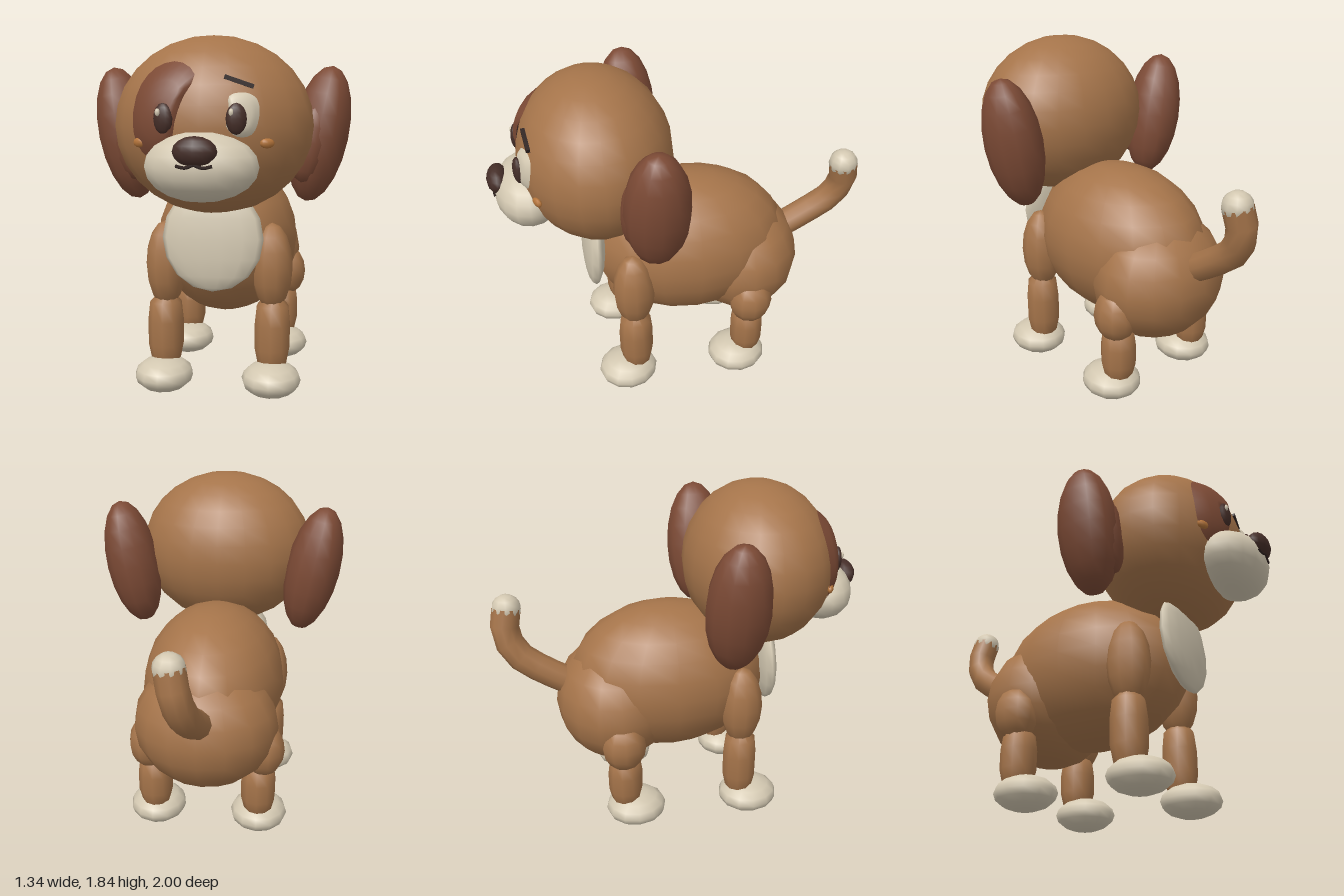
import * as THREE from 'three';

const mat = (name, color, side = THREE.FrontSide) => {
  const m = new THREE.MeshStandardMaterial({ color, side });
  m.name = name;
  return m;
};

export function createModel() {
  const dog = new THREE.Group();
  dog.name = 'puppy';
  const fur = mat('brown fur', 0xa5744a);
  const darkFur = mat('dark brown fur', 0x7c4a35, THREE.DoubleSide);
  const cream = mat('cream fur', 0xd3c8b1, THREE.DoubleSide);
  const dark = mat('nose and eye brown', 0x452e28);
  const tan = mat('cheek tan', 0xb4743a);
  const black = mat('brow black', 0x2e211e);

  const add = (name, geo, material, pos = [0, 0, 0], rot = [0, 0, 0]) => {
    const m = new THREE.Mesh(geo, material);
    m.name = name;
    m.position.set(...pos);
    m.rotation.set(...rot);
    dog.add(m);
    return m;
  };
  // Ellipsoid from centre and three radii
  const blob = (name, material, pos, radii, rot, w = 12, h = 8) =>
    add(name, new THREE.SphereGeometry(1, w, h).scale(...radii), material, pos, rot);

  // Trunk
  blob('body', fur, [0, 0.79, -0.05], [0.385, 0.42, 0.55], [0, 0, 0], 16, 12);
  blob('rump', fur, [0, 0.665, -0.35], [0.385, 0.345, 0.33], [0, 0, 0], 16, 10);
  blob('chestBib', cream, [0, 0.86, 0.49], [0.255, 0.27, 0.062], [-0.06, 0, 0], 14, 8);

  // Head
  const headPos = [0, 1.415, 0.44], headR = [0.49, 0.435, 0.4];
  blob('head', fur, headPos, headR, [0, 0, 0], 20, 14);
  const faceZ = (x, y) => headPos[2] + headR[2] * Math.sqrt(
    Math.max(0, 1 - (x / headR[0]) ** 2 - ((y - headPos[1]) / headR[1]) ** 2));

  // Padded marking that follows the curve of the face
  const marking = (name, material, outline, lift) => {
    const curve = new THREE.CatmullRomCurve3(outline.map(([x, y]) => new THREE.Vector3(x, y, 0)), true);
    const n = 24, rings = 5, centre = new THREE.Vector3();
    const rim = Array.from({ length: n }, (_, i) => curve.getPoint(i / n));
    rim.forEach(p => centre.addScaledVector(p, 1 / n));
    const verts = [], index = [];
    for (let r = 0; r <= rings; r++) {
      for (let i = 0; i < n; i++) {
        const t = r / rings, p = centre.clone().lerp(rim[i], t);
        verts.push(p.x, p.y, faceZ(p.x, p.y) + lift * (1 - t ** 6));
        if (r === rings) continue;
        const a = r * n + i, b = r * n + (i + 1) % n;
        if (r > 0) index.push(a, a + n, b);
        index.push(b, a + n, b + n);
      }
    }
    const geo = new THREE.BufferGeometry();
    geo.setAttribute('position', new THREE.Float32BufferAttribute(verts, 3));
    geo.setIndex(index);
    geo.computeVertexNormals();
    // the centre ring is collapsed to one point
    for (let i = 0; i < n; i++) geo.attributes.normal.setXYZ(i, 0, 0, 1);
    add(name, geo, material);
  };
  marking('facePatch', darkFur, [[-0.03, 1.65], [-0.11, 1.71], [-0.22, 1.69], [-0.3, 1.6], [-0.33, 1.45],
    [-0.31, 1.34], [-0.24, 1.27], [-0.15, 1.3], [-0.11, 1.45], [-0.08, 1.54]], 0.024);
  marking('eyePatch', cream, [[0.2, 1.57], [0.13, 1.555], [0.13, 1.49], [0.12, 1.42],
    [0.17, 1.375], [0.23, 1.385], [0.26, 1.46], [0.25, 1.54]], 0.02);

  // Muzzle, nose and mouth
  blob('muzzle', cream, [0, 1.24, 0.795], [0.265, 0.162, 0.178], [0, 0, 0], 16, 10);
  blob('nose', dark, [0, 1.316, 0.945], [0.1, 0.068, 0.056]);
  for (const s of [-1, 1]) {
    const lip = new THREE.CatmullRomCurve3([[0, 1.262, 0.972], [s * 0.04, 1.248, 0.968], [s * 0.08, 1.256, 0.962]]
      .map(p => new THREE.Vector3(...p)));
    add('mouth', new THREE.TubeGeometry(lip, 6, 0.008, 5), black);
  }

  // Eyes, cheeks and ears
  for (const s of [-1, 1]) {
    blob('eye', dark, [s * 0.165, 1.455, 0.83], [0.047, 0.07, 0.026], [0, s * 0.2, 0]);
    blob('eyeGlint', cream, [s * 0.165 - 0.02, 1.483, 0.85], [0.012, 0.018, 0.009], [0, 0, 0], 8, 6);
    blob('cheekSpot', tan, [s * 0.295, 1.345, 0.757], [0.036, 0.023, 0.016], [0, s * 0.5, 0], 8, 6);
    blob('ear', darkFur, [s * 0.51, 1.365, 0.21], [0.148, 0.352, 0.166], [0, 0, -s * 0.19], 12, 10);
    blob('innerEar', darkFur, [s * 0.47, 1.33, 0.31], [0.095, 0.21, 0.075], [0, 0, -s * 0.22], 10, 8);
  }
  add('brow', new THREE.BoxGeometry(0.138, 0.02, 0.02), black, [0.17, 1.618, 0.776], [0, 0.12, -0.33]);

  // Legs, in left and right pairs
  const shin = [[0.06, 0.14], [0.078, 0.17], [0.094, 0.25], [0.095, 0.38], [0.084, 0.48], [0.03, 0.54]];
  const lowerLeg = (height) => new THREE.LatheGeometry(
    shin.map(([r, y]) => new THREE.Vector2(r, 0.14 + (y - 0.14) * height)), 10);
  for (const s of [-1, 1]) {
    blob('frontUpperLeg', fur, [s * 0.28, 0.685, 0.31], [0.108, 0.23, 0.115], [0, 0, 0], 10, 8);
    add('frontLowerLeg', lowerLeg(1), fur, [s * 0.285, 0, 0.31]);
    blob('frontPaw', cream, [s * 0.285, 0.1, 0.365], [0.155, 0.09, 0.167]);
    blob('hindThigh', fur, [s * 0.31, 0.525, -0.345], [0.112, 0.15, 0.122], [0, 0, 0], 10, 8);
    add('hindLowerLeg', lowerLeg(0.8), fur, [s * 0.285, 0, -0.34]);
    blob('hindPaw', cream, [s * 0.285, 0.1, -0.285], [0.155, 0.09, 0.167]);
  }

  // Tail with a pale tip
  const tailPath = new THREE.CatmullRomCurve3([[0, 0.78, -0.6], [0.005, 0.87, -0.75], [0.02, 0.96, -0.865],
    [0.045, 1.08, -0.922], [0.07, 1.215, -0.905]].map(p => new THREE.Vector3(...p)));
  add('tail', new THREE.TubeGeometry(tailPath, 6, 0.077, 10), fur);
  blob('tailTip', cream, [0.07, 1.213, -0.905], [0.079, 0.077, 0.079], [0, 0, 0], 10, 8);

  return dog;
}
